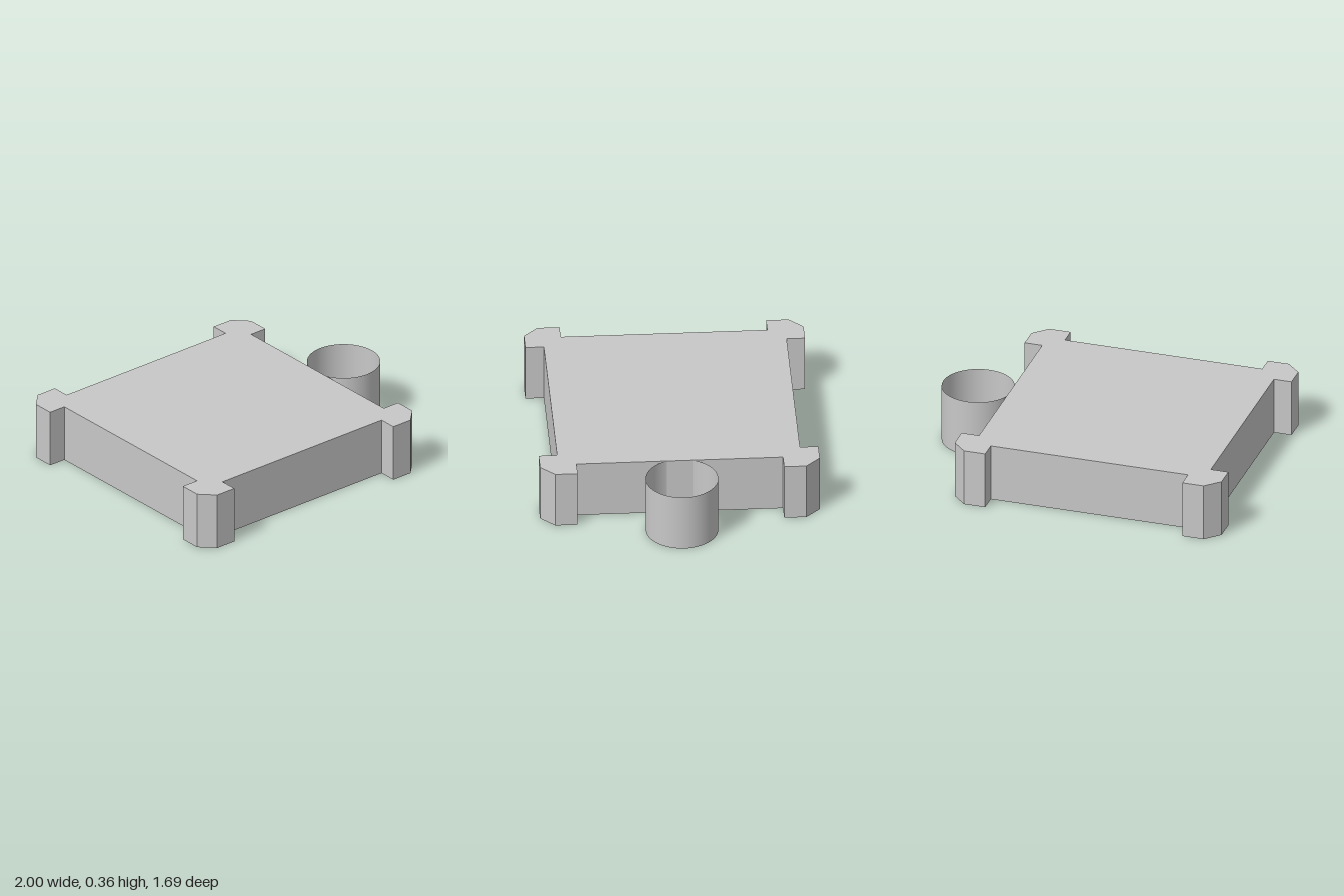
import * as THREE from 'three';

const HEIGHT = 0.36;

export function createModel() {
  const model = new THREE.Group();
  model.name = 'plateWithTube';

  const grey = new THREE.MeshStandardMaterial({ color: 0xc8c8c8 });
  grey.name = 'grey';
  const tubeGrey = grey.clone();
  tubeGrey.name = 'greyThinWall';
  tubeGrey.side = THREE.DoubleSide;

  // Square block: one chamfered corner post outline, turned four times
  const corner = [
    [0.732, 0.623], [0.843, 0.623], [0.843, 0.757],
    [0.757, 0.843], [0.623, 0.843], [0.623, 0.732],
  ].map(([x, y]) => new THREE.Vector2(x, y));
  const outline = [];
  const origin = new THREE.Vector2();
  for (let i = 0; i < 4; i++) {
    for (const p of corner) outline.push(p.clone().rotateAround(origin, i * Math.PI / 2));
  }
  const blockGeometry = new THREE.ExtrudeGeometry(new THREE.Shape(outline), {
    depth: HEIGHT, bevelEnabled: false,
  });
  blockGeometry.rotateX(-Math.PI / 2);
  const block = new THREE.Mesh(blockGeometry, grey);
  block.name = 'corneredBlock';
  block.position.x = -0.157;
  model.add(block);

  // Open thin-walled tube against the left side
  const tube = new THREE.Mesh(
    new THREE.CylinderGeometry(0.22, 0.22, HEIGHT, 64, 1, true), tubeGrey);
  tube.name = 'sideTube';
  tube.position.set(0.78, HEIGHT / 2, 0);
  model.add(tube);

  return model;
}
